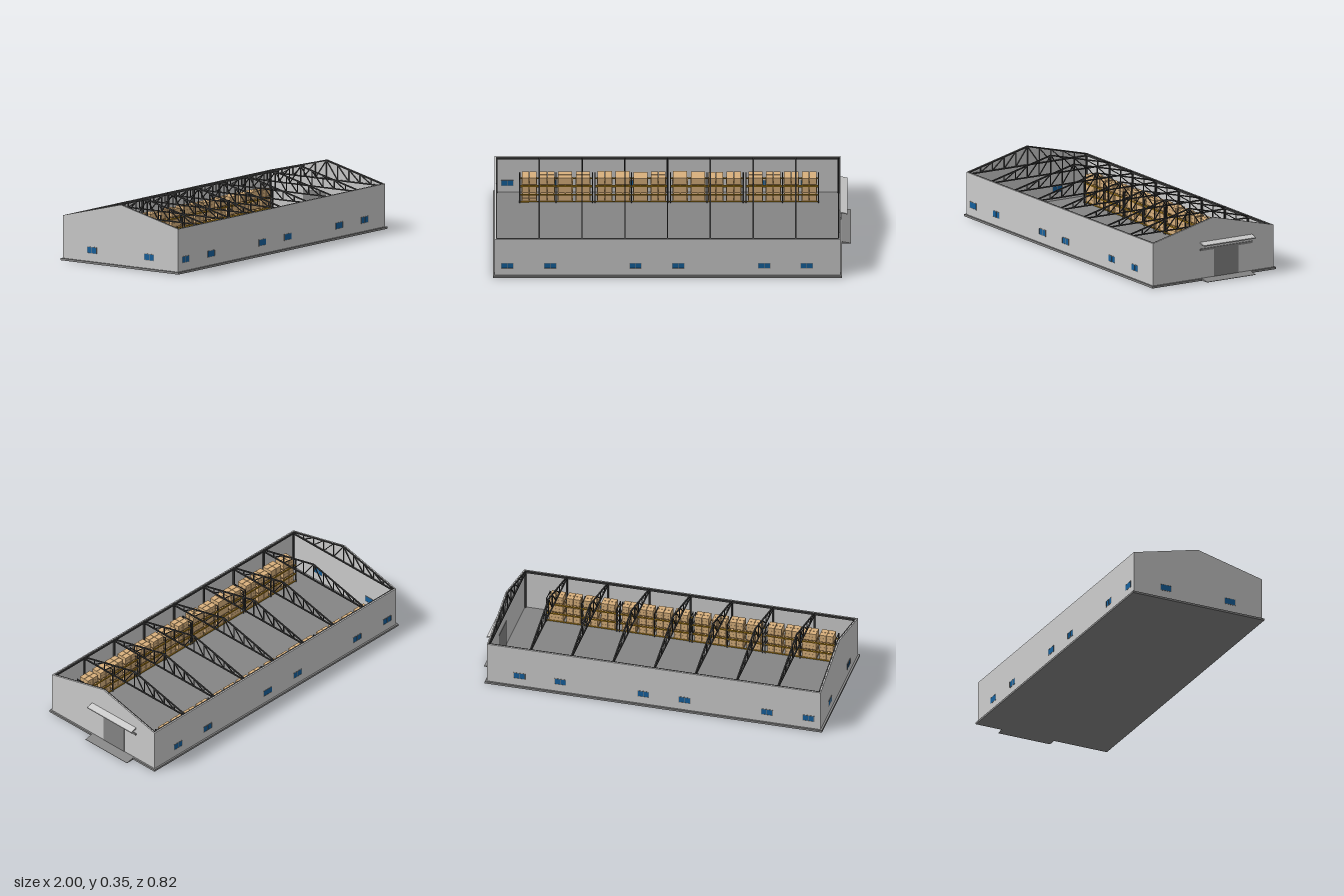
import * as THREE from 'three';
import { mergeGeometries } from 'three/addons/utils/BufferGeometryUtils.js';

const mat = (color, extra = {}) => new THREE.MeshStandardMaterial({ color, ...extra });
const wallMat = mat(0xcccccc);
const floorMat = mat(0x858585);
const steelMat = mat(0x3c3c3c);
const glassMat = mat(0x15609c);
const boxMat = mat(0xd8b07c);
const woodMat = mat(0xa9834f);
const beamMat = mat(0xb88a1c);

// Box geometry from its limits
function span(x0, x1, y0, y1, z0, z1) {
  const g = new THREE.BoxGeometry(x1 - x0, y1 - y0, z1 - z0);
  return g.translate((x0 + x1) / 2, (y0 + y1) / 2, (z0 + z1) / 2);
}

// Square bar in the plane x = const between two [z, y] points
function bar(x, a, b, t) {
  const dz = b[0] - a[0], dy = b[1] - a[1];
  const g = new THREE.BoxGeometry(t, t, Math.hypot(dz, dy));
  g.rotateX(-Math.atan2(dy, dz));
  return g.translate(x, (a[1] + b[1]) / 2, (a[0] + b[0]) / 2);
}

function add(group, name, geos, material) {
  const m = new THREE.Mesh(mergeGeometries(geos.map(g => g.index ? g.toNonIndexed() : g)), material);
  m.name = name;
  group.add(m);
  return m;
}

const X0 = -0.99, X1 = 0.94, Z = 0.4, FLOOR = 0.012, EAVE = 0.255, RIDGE = 0.353, T = 0.006;
const roofY = z => RIDGE - (RIDGE - EAVE) * Math.abs(z) / Z;

// Pentagonal end wall, optionally with the doorway cut out
function gable(xOuter, door) {
  const s = new THREE.Shape([[-Z, FLOOR], [Z, FLOOR], [Z, EAVE], [0, RIDGE], [-Z, EAVE]]
    .map(p => new THREE.Vector2(...p)));
  if (door) s.holes.push(new THREE.Path([[-0.163, FLOOR + 0.001], [-0.163, 0.166], [-0.007, 0.166], [-0.007, FLOOR + 0.001]]
    .map(p => new THREE.Vector2(...p))));
  const g = new THREE.ExtrudeGeometry(s, { depth: T, bevelEnabled: false });
  return g.rotateY(-Math.PI / 2).translate(xOuter, 0, 0);
}

// Prism along z from an [x, y] profile
function prism(points, z0, z1) {
  const s = new THREE.Shape(points.map(p => new THREE.Vector2(...p)));
  return new THREE.ExtrudeGeometry(s, { depth: z1 - z0, bevelEnabled: false }).translate(0, 0, z0);
}

// Two-pane window that shows on both faces of a wall
function windowUnit() {
  const g = new THREE.Group();
  g.name = 'window';
  const w = 0.034, h = 0.019, d = T / 2 + 0.001, f = 0.003;
  add(g, 'windowPanes', [span(-w + f, -0.001, -h + f, h - f, -d, d), span(0.001, w - f, -h + f, h - f, -d, d)], glassMat);
  const e = d + 0.0008;
  add(g, 'windowFrame', [
    span(-w, w, h - f, h, -e, e), span(-w, w, -h, -h + f, -e, e),
    span(-w, -w + f, -h, h, -e, e), span(w - f, w, -h, h, -e, e),
    span(-0.001, 0.001, -h, h, -e, e)], floorMat);
  return g;
}

// Column pair and triangular roof truss
function frame(x, t) {
  const bars = [];
  const top = z => [z, roofY(z) - 0.004], low = z => [z, EAVE - 0.012];
  const end = Z - T - 0.005, n = 5;
  bars.push(bar(x, low(-end), low(end), t));
  for (const s of [-1, 1]) {
    bars.push(bar(x, [s * end, FLOOR], top(s * end), t * 1.3));
    bars.push(bar(x, top(s * end), top(0), t));
    for (let i = 0; i < n; i++) {
      const a = s * end * i / n, b = s * end * (i + 1) / n;
      bars.push(bar(x, low(a), top(a), t * 0.7));
      if (i < n - 1) bars.push(bar(x, top(a), low(b), t * 0.7));
    }
  }
  return bars;
}

// Storage rack row: four racks of four bays, three levels of loaded pallets
function rackRow(name, xStart, zMid, aisle) {
  const group = new THREE.Group();
  group.name = name;
  let seed = 7;
  const rnd = () => (seed = (seed * 16807) % 2147483647) / 2147483647;
  const posts = [], beams = [], pallets = [], cartons = [];
  const levels = [FLOOR + 0.003, 0.073, 0.132], pitch = 0.1, d = 0.037;
  for (let r = 0; r < 4; r++) {
    const x0 = xStart + r * 0.421, x1 = x0 + 0.406;
    for (const x of [x0, (x0 + x1) / 2, x1]) {
      for (const s of [-1, 1]) posts.push(span(x - 0.003, x + 0.003, FLOOR, 0.165, zMid + s * d - 0.003, zMid + s * d + 0.003));
      for (const y of [0.06, 0.12, 0.16]) posts.push(span(x - 0.002, x + 0.002, y, y + 0.004, zMid - d, zMid + d));
    }
    levels.forEach((y, k) => {
      if (k) for (const s of [-1, 1]) {
        const z = zMid + s * d;
        beams.push(span(x0, x1, y - 0.008, y, z - 0.0025, z + 0.0025));
      }
      for (let i = 0; i < 4; i++) {
        const c = x0 + 0.053 + i * pitch, w = 0.043;
        // Pallet deck on three bearers
        pallets.push(span(c - w, c + w, y + 0.004, y + 0.007, zMid - 0.034, zMid + 0.034));
        for (const q of [-1, 0, 1]) pallets.push(span(c + q * 0.038 - 0.004, c + q * 0.038 + 0.004, y, y + 0.004, zMid - 0.034, zMid + 0.034));
        // Cartons, two by two in two layers
        const h = 0.018 + rnd() * 0.003;
        for (const sx of [-1, 1]) for (const sz of [-1, 1]) for (const l of [0, 1]) {
          const cx = c + sx * 0.0205, cz = zMid + sz * 0.0165, by = y + 0.007 + l * (h + 0.0005);
          cartons.push(span(cx - 0.0195, cx + 0.0195, by, by + h, cz - 0.0155, cz + 0.0155));
        }
      }
    });
  }
  // Guard beam facing the aisle
  const gz = zMid + aisle * d;
  beams.push(span(xStart, xStart + 1.669, 0.018, 0.024, gz - 0.002, gz + 0.002));
  add(group, 'rackPosts', posts, steelMat);
  add(group, 'rackBeams', beams, beamMat);
  add(group, 'pallets', pallets, woodMat);
  add(group, 'cartons', cartons, boxMat);
  return group;
}

export function createModel() {
  const model = new THREE.Group();
  model.name = 'warehouse';

  // Base and entrance ramp
  add(model, 'floorSlab', [span(-1, 0.95, 0, FLOOR, -0.41, 0.41)], floorMat);
  add(model, 'entranceRamp', [prism([[0.95, 0], [1, 0], [1, 0.002], [0.95, FLOOR]], -0.243, 0.08)], floorMat);

  // Walls
  for (const s of [-1, 1]) {
    const a = s * Z, b = s * (Z - T);
    add(model, s > 0 ? 'frontWall' : 'backWall', [span(X0, X1, FLOOR, EAVE, Math.min(a, b), Math.max(a, b))], wallMat);
  }
  add(model, 'doorEndWall', [gable(X1, true)], wallMat);
  add(model, 'windowEndWall', [gable(X0 + T, false)], wallMat);

  // Windows on the long walls and the plain end wall
  for (const x of [-0.92, -0.68, -0.203, 0.035, 0.515, 0.752]) for (const s of [-1, 1]) {
    const w = windowUnit();
    w.position.set(x, 0.076, s * (Z - T / 2));
    model.add(w);
  }
  for (const z of [-0.2, 0.2]) {
    const w = windowUnit();
    w.rotation.y = Math.PI / 2;
    w.position.set(X0 + T / 2, 0.076, z);
    model.add(w);
  }

  // Door, its track and the sloping canopy
  add(model, 'door', [span(X1 - 0.008, X1 + 0.002, FLOOR, 0.169, -0.165, -0.005)], floorMat);
  add(model, 'doorTrack', [span(X1, X1 + 0.005, 0.17, 0.182, -0.258, 0.088)], floorMat);
  add(model, 'canopy', [prism([[X1, 0.212], [0.98, 0.203], [0.98, 0.209], [X1, 0.22]], -0.257, 0.087)], wallMat);

  // Steel frames and eave beams
  const xs = [-0.98, -0.741, -0.502, -0.263, -0.025, 0.214, 0.453, 0.691, 0.93];
  xs.forEach(x => add(model, 'roofTruss', frame(x, 0.007), steelMat));
  add(model, 'eaveBeams', [-1, 1].map(s => {
    const z = s * (Z - T - 0.005);
    return span(X0 + T, X1 - T, EAVE - 0.012, EAVE - 0.001, z - 0.005, z + 0.005);
  }), steelMat);

  // Storage
  model.add(rackRow('backRackRow', -0.85, -0.328, 1));
  model.add(rackRow('frontRackRow', -0.89, 0.32, -1));
  return model;
}
